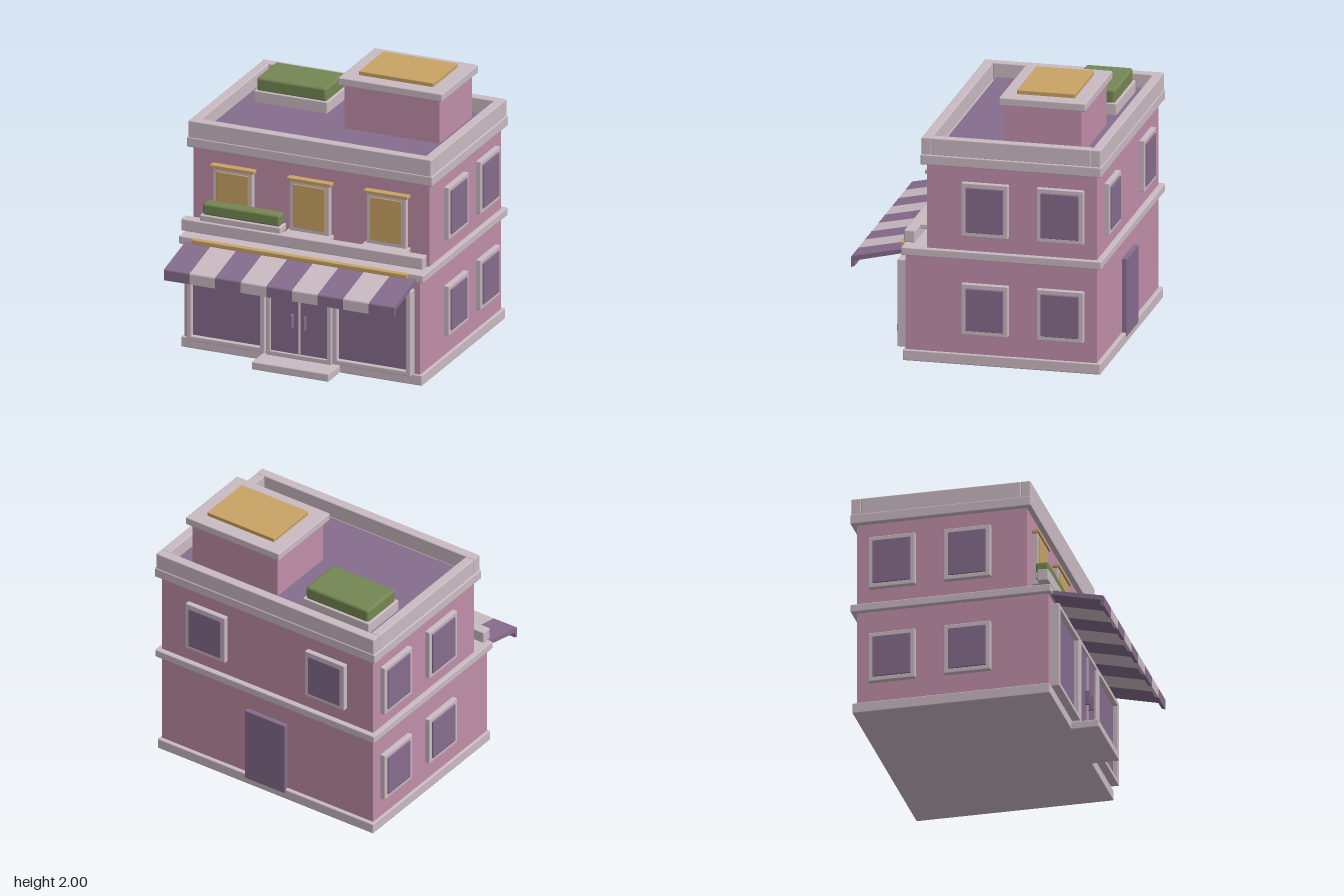
import * as THREE from 'three';
import { RoundedBoxGeometry } from 'three/addons/geometries/RoundedBoxGeometry.js';

const material = (name, color) => {
  const m = new THREE.MeshStandardMaterial({ color });
  m.name = name;
  return m;
};

export function createModel() {
  const pink = material('pink wall', 0xc08ea8);
  const stone = material('pale stone', 0xcabac2);
  const purple = material('purple', 0x866c8d);
  const gold = material('gold', 0xc9a364);
  const green = material('leaf green', 0x748752);

  const model = new THREE.Group();
  model.name = 'shopBuilding';

  // Box given by its min and max on each axis; a radius softens its edges
  const box = (name, mat, [x0, x1], [y0, y1], [z0, z1], r = 0, parent = model) => {
    const s = [x1 - x0, y1 - y0, z1 - z0];
    const geo = r ? new RoundedBoxGeometry(...s, 2, Math.min(r, Math.min(...s) * 0.45)) : new THREE.BoxGeometry(...s);
    const mesh = new THREE.Mesh(geo, mat);
    mesh.name = name;
    mesh.position.set((x0 + x1) / 2, (y0 + y1) / 2, (z0 + z1) / 2);
    parent.add(mesh);
    return mesh;
  };
  const R = 0.008;

  // Main masses and horizontal trim
  box('plinth', stone, [-0.94, 0.94], [0, 0.08], [-0.91, 0.54], R);
  box('doorStep', stone, [-0.3, 0.3], [0, 0.06], [0.5, 0.74], R);
  box('groundFloor', pink, [-0.92, 0.92], [0.07, 0.8], [-0.88, 0.525]);
  box('middleCornice', stone, [-0.955, 0.955], [0.79, 0.85], [-0.92, 0.55], R);
  box('upperFloor', pink, [-0.92, 0.92], [0.84, 1.5], [-0.88, 0.367]);
  box('topCornice', stone, [-0.96, 0.96], [1.48, 1.555], [-0.92, 0.405], R);

  // Roof deck and parapet
  box('roofDeck', purple, [-0.877, 0.877], [1.55, 1.575], [-0.825, 0.3]);
  box('parapetFront', stone, [-0.948, 0.948], [1.55, 1.68], [0.328, 0.4], R);
  box('parapetBack', stone, [-0.948, 0.948], [1.55, 1.68], [-0.915, -0.845], R);
  for (const s of [-1, 1]) {
    const x = [0.877 * s, 0.948 * s].sort((a, b) => a - b);
    box('parapetSide', stone, x, [1.55, 1.68], [-0.845, 0.328], R);
  }

  // Roof room and roof planter
  box('roofRoom', pink, [0.02, 0.76], [1.56, 1.92], [-0.73, -0.165]);
  box('roofRoomCap', stone, [-0.015, 0.795], [1.91, 1.97], [-0.765, -0.13], R);
  box('skylight', gold, [0.1, 0.68], [1.96, 2.0], [-0.66, -0.235], 0.005);
  box('roofPlanterTray', stone, [-0.785, -0.21], [1.56, 1.66], [-0.745, -0.373], R);
  box('roofPlanterHedge', green, [-0.77, -0.225], [1.65, 1.757], [-0.73, -0.388], 0.02);

  // Ledge above the awning with a planter
  box('ledge', stone, [-0.945, 0.94], [0.885, 0.975], [0.45, 0.53], R);
  box('ledgePlanterTray', stone, [-0.81, -0.18], [0.97, 1.02], [0.4, 0.51], R);
  box('ledgePlanterHedge', green, [-0.795, -0.195], [1.015, 1.105], [0.4, 0.495], 0.018);

  // Rectangular frame in the local xy plane, facing +z
  const frame = (name, parent, w, h, y, t, z) => {
    for (const s of [-1, 1]) {
      const cx = s * (w - t) / 2, cy = y + s * (h - t) / 2;
      box(name, stone, [cx - t / 2, cx + t / 2], [y - h / 2, y + h / 2], z, 0.006, parent);
      box(name, stone, [-w / 2 + t * 0.5, w / 2 - t * 0.5], [cy - t / 2, cy + t / 2], z, 0.006, parent);
    }
  };

  // Front upper windows with sill and lintel
  for (const x of [-0.6, 0, 0.6]) {
    const win = new THREE.Group();
    win.name = 'frontWindow';
    win.position.set(x, 0, 0.367);
    frame('frontWindowFrame', win, 0.31, 0.385, 1.163, 0.032, [-0.01, 0.038]);
    box('frontWindowPane', gold, [-0.125, 0.125], [1.0, 1.33], [-0.01, 0.046], 0.004, win);
    box('lintel', gold, [-0.172, 0.172], [1.353, 1.377], [-0.01, 0.052], 0.004, win);
    box('sill', stone, [-0.175, 0.175], [0.94, 0.973], [-0.01, 0.088], 0.006, win);
    model.add(win);
  }

  // Side and back windows
  const wallWindow = (x, z, turn, y, h) => {
    const win = new THREE.Group();
    win.name = 'wallWindow';
    win.position.set(x, 0, z);
    win.rotation.y = turn;
    frame('wallWindowFrame', win, 0.343, h, y, 0.036, [-0.01, 0.037]);
    box('wallWindowPane', purple, [-0.138, 0.138], [y - h / 2 + 0.033, y + h / 2 - 0.033], [-0.01, 0.046], 0.004, win);
    model.add(win);
  };
  for (const s of [-1, 1]) {
    for (const z of [-0.064, -0.617]) {
      wallWindow(0.92 * s, z, s * Math.PI / 2, 0.42, 0.38);
      wallWindow(0.92 * s, z, s * Math.PI / 2, 1.165, 0.4);
    }
    wallWindow(0.52 * s, -0.88, Math.PI, 1.16, 0.385);
  }
  box('backDoor', purple, [-0.175, 0.175], [0.05, 0.63], [-0.917, -0.87], 0.004);

  // Shop windows either side of the entrance
  for (const s of [-1, 1]) {
    const shop = new THREE.Group();
    shop.name = 'shopWindow';
    shop.position.x = 0.57 * s;
    frame('shopWindowFrame', shop, 0.61, 0.65, 0.405, 0.036, [0.52, 0.595]);
    box('shopGlass', purple, [-0.28, 0.28], [0.11, 0.71], [0.52, 0.56], 0, shop);
    model.add(shop);
  }

  // Double entrance door
  const door = new THREE.Group();
  door.name = 'entrance';
  frame('doorFrame', door, 0.51, 0.66, 0.4, 0.035, [0.52, 0.595]);
  box('doorMullion', stone, [-0.007, 0.007], [0.09, 0.71], [0.52, 0.588], 0, door);
  for (const s of [-1, 1]) {
    const span = (a, b) => [a * s, b * s].sort((p, q) => p - q);
    box('doorLeaf', purple, span(0.007, 0.222), [0.1, 0.71], [0.52, 0.578], 0, door);
    box('doorHandle', purple, span(0.043, 0.057), [0.3, 0.41], [0.575, 0.615], 0.005, door);
  }
  model.add(door);

  // Striped awning: one bent profile extruded per stripe
  const profile = new THREE.Shape([[0.54, 0.82], [0.925, 0.738], [0.93, 0.73], [0.93, 0.655], [0.902, 0.665],
    [0.902, 0.706], [0.54, 0.79]].map(([z, y]) => new THREE.Vector2(-z, y)));
  const stripe = new THREE.ExtrudeGeometry(profile, { depth: 0.2, bevelEnabled: false });
  stripe.rotateY(Math.PI / 2);
  for (let i = 0; i < 9; i++) {
    const mesh = new THREE.Mesh(stripe, i % 2 ? stone : purple);
    mesh.name = 'awningStripe';
    mesh.position.x = -0.9 + 0.2 * i;
    model.add(mesh);
  }
  box('awningRail', gold, [-0.84, 0.84], [0.818, 0.85], [0.54, 0.583], 0.005);

  return model;
}
